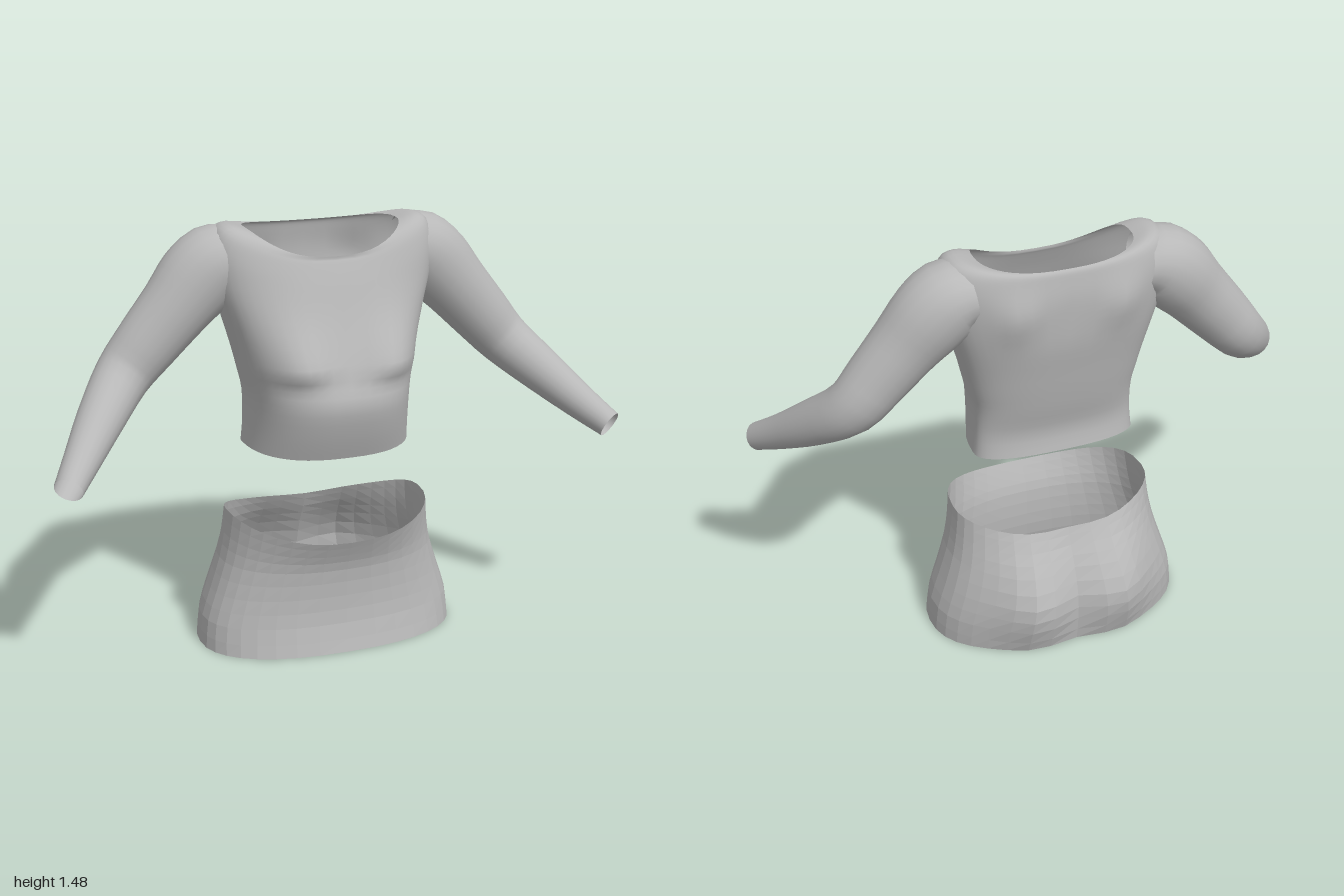
import * as THREE from 'three';

const fabric = new THREE.MeshStandardMaterial({ color: 0xb8b8b8, side: THREE.DoubleSide });
fabric.name = 'grey fabric';

const bell = (d, width) => Math.exp(-(d * d) / (width * width));

// Smoothly resample rows of numbers, adding steps between neighbouring rows.
function refine(rows, steps) {
  const out = [];
  const at = (i) => rows[Math.min(rows.length - 1, Math.max(0, i))];
  for (let i = 0; i < rows.length - 1; i++) {
    for (let s = 0; s < steps; s++) {
      const t = s / steps;
      out.push(rows[i].map((b, k) => {
        const a = at(i - 1)[k], c = at(i + 1)[k], d = at(i + 2)[k];
        return b + 0.5 * t * (c - a + t * (2 * a - 5 * b + 4 * c - d + t * (3 * (b - c) + d - a)));
      }));
    }
  }
  out.push(rows[rows.length - 1]);
  return out;
}

// Open tube skin: point(row, angle) gives each corner.
function skin(rows, sides, point) {
  const position = [], index = [];
  rows.forEach((row, j) => {
    for (let i = 0; i < sides; i++) {
      position.push(...point(row, (i / sides) * Math.PI * 2, j));
      if (j === 0) continue;
      const n = (i + 1) % sides, lo = (j - 1) * sides, hi = j * sides;
      index.push(lo + i, lo + n, hi + n, lo + i, hi + n, hi + i);
    }
  });
  const geometry = new THREE.BufferGeometry();
  geometry.setAttribute('position', new THREE.Float32BufferAttribute(position, 3));
  geometry.setIndex(index);
  geometry.computeVertexNormals();
  return geometry;
}

// Body rings: half width, front z, back z, then height at front, side and back.
function bodySkin(rings, steps, sides, middle, boxiness, swell) {
  return skin(refine(rings, steps), sides, ([w, zf, zb, yf, ys, yb], a) => {
    const s = Math.sin(a), c = Math.cos(a);
    const x = w * Math.sign(s) * Math.abs(s) ** boxiness;
    const z = middle + ((c > 0 ? zf : zb) - middle) * Math.abs(c) ** boxiness;
    const end = c > 0 ? yf : yb;
    const y = end + (ys - end) * s * s;
    return [x, y, z + swell(x, y, c)];
  });
}

function part(name, geometry) {
  const mesh = new THREE.Mesh(geometry, fabric);
  mesh.name = name;
  return mesh;
}

function makeTop() {
  const rings = [
    [0.29, 0.235, -0.135, 0.705, 0.715, 0.72],
    [0.283, 0.27, -0.125, 0.8, 0.8, 0.8],
    [0.283, 0.291, -0.148, 0.9, 0.9, 0.9],
    [0.3, 0.262, -0.165, 0.98, 0.98, 0.98],
    [0.32, 0.23, -0.18, 1.06, 1.06, 1.06],
    [0.355, 0.19, -0.2, 1.17, 1.18, 1.17],
    [0.385, 0.155, -0.205, 1.27, 1.28, 1.28],
    [0.395, 0.135, -0.205, 1.32, 1.38, 1.35],
    [0.375, 0.122, -0.198, 1.35, 1.455, 1.405],
    [0.33, 0.117, -0.193, 1.36, 1.476, 1.43],
    [0.27, 0.117, -0.185, 1.37, 1.46, 1.44],
  ];
  // Bust with a tight underside, and shoulder blades.
  return part('top', bodySkin(rings, 3, 48, -0.03, 0.78, (x, y, c) => {
    const side = Math.abs(x);
    if (c > 0) return 0.055 * c * bell(side - 0.18, 0.11) * bell(y - 1.015, y < 1.015 ? 0.04 : 0.13);
    return -0.025 * bell(side - 0.18, 0.07) * bell(y - 1.29, 0.08);
  }));
}

function makeSkirt() {
  const rings = [
    [0.465, 0.26, -0.28, 0, 0, 0],
    [0.455, 0.235, -0.29, 0.1, 0.1, 0.1],
    [0.423, 0.228, -0.285, 0.2, 0.2, 0.2],
    [0.388, 0.235, -0.25, 0.3, 0.31, 0.3],
    [0.37, 0.255, -0.215, 0.36, 0.4, 0.37],
    [0.36, 0.28, -0.19, 0.415, 0.485, 0.43],
  ];
  // Two rounded lobes at the back; separate faces keep the facets.
  const geometry = bodySkin(rings, 2, 36, 0, 0.85, (x, y, c) =>
    c > 0 ? 0 : 0.065 * c * bell(Math.abs(x) - 0.17, 0.12) * bell(y - 0.19, 0.2)).toNonIndexed();
  geometry.computeVertexNormals();
  return part('skirt', geometry);
}

function makeSleeve(name) {
  // Centre x, y, z, then radius across and in depth, from shoulder to wrist.
  const rows = refine([
    [0.3, 1.36, -0.06, 0.103, 0.115],
    [0.365, 1.345, -0.06, 0.128, 0.128],
    [0.43, 1.287, -0.058, 0.135, 0.125],
    [0.51, 1.2, -0.05, 0.12, 0.11],
    [0.61, 1.09, -0.045, 0.108, 0.098],
    [0.7, 0.99, -0.03, 0.095, 0.09],
    [0.8, 0.89, 0.08, 0.08, 0.08],
    [0.89, 0.8, 0.2, 0.062, 0.062],
    [0.96, 0.735, 0.3, 0.048, 0.05],
  ], 3);
  const centre = (j) => new THREE.Vector3(...rows[Math.min(rows.length - 1, Math.max(0, j))].slice(0, 3));
  return part(name, skin(rows, 20, ([, , , across, depth], a, j) => {
    const along = centre(j + 1).sub(centre(j - 1)).normalize();
    const up = new THREE.Vector3(0, 0, 1).cross(along).normalize();
    const out = along.clone().cross(up);
    return centre(j).addScaledVector(up, across * Math.cos(a))
      .addScaledVector(out, depth * Math.sin(a)).toArray();
  }));
}

export function createModel() {
  const model = new THREE.Group();
  model.name = 'outfit';
  const left = makeSleeve('leftSleeve');
  const right = makeSleeve('rightSleeve');
  right.scale.x = -1;
  model.add(makeTop(), makeSkirt(), left, right);
  return model;
}
